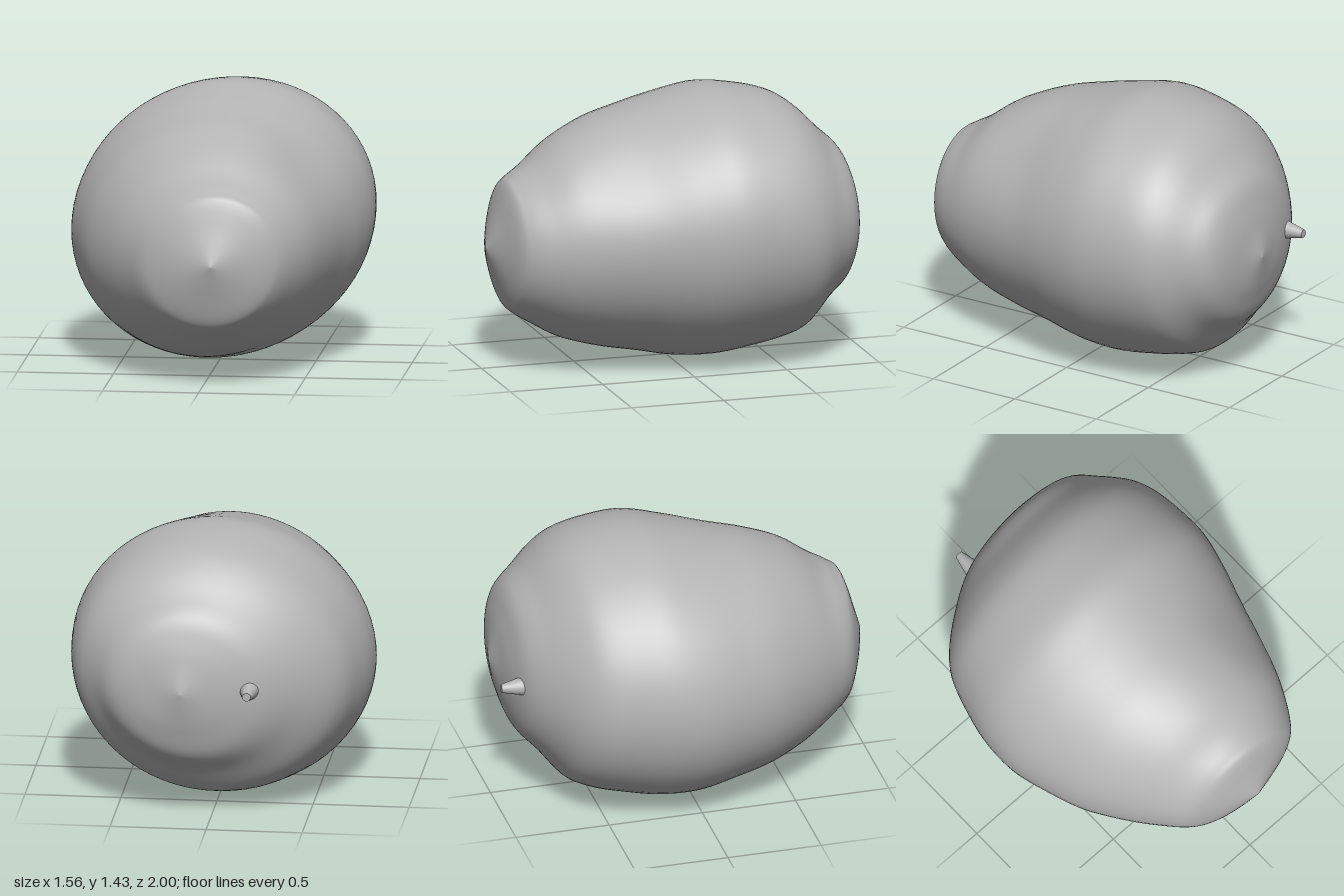
import * as THREE from 'three';

// Body stations from front to back: z, xMin, xMax, yMin, yMax
const STATIONS = [
  [1.0, 0.06, 0.06, 0.665, 0.665],
  [0.95, -0.11, 0.22, 0.50, 0.83],
  [0.90, -0.235, 0.36, 0.36, 0.99],
  [0.85, -0.32, 0.425, 0.305, 1.035],
  [0.75, -0.41, 0.49, 0.24, 1.095],
  [0.6, -0.525, 0.56, 0.155, 1.205],
  [0.4, -0.65, 0.625, 0.09, 1.295],
  [0.2, -0.725, 0.68, 0.05, 1.35],
  [0.0, -0.775, 0.74, 0.012, 1.40],
  [-0.2, -0.775, 0.778, 0.008, 1.44],
  [-0.4, -0.73, 0.77, 0.04, 1.42],
  [-0.55, -0.675, 0.745, 0.075, 1.38],
  [-0.66, -0.59, 0.70, 0.125, 1.31],
  [-0.77, -0.455, 0.615, 0.255, 1.20],
  [-0.87, -0.295, 0.525, 0.36, 1.10],
  [-0.92, -0.14, 0.42, 0.49, 0.97],
  [-0.95, 0.02, 0.25, 0.60, 0.84],
  [-0.975, 0.14, 0.14, 0.72, 0.72],
];

// Smooth loft of slightly skewed ellipses
function bodyGeometry(rings = 102, sides = 72, skew = 0.055) {
  const spline = (lo, hi) => new THREE.CatmullRomCurve3(
    STATIONS.map((s) => new THREE.Vector3(s[0], s[lo], s[hi])), false, 'catmullrom', 0.5);
  const xs = spline(1, 2), ys = spline(3, 4);
  const positions = [], index = [];
  for (let i = 0; i <= rings; i++) {
    const h = xs.getPoint(i / rings), v = ys.getPoint(i / rings);
    for (let j = 0; j < sides; j++) {
      const t = (j / sides) * Math.PI * 2;
      // shallow hollow on the upper left flank
      const da = (t - 0.7) / 0.4, dz = (h.x - 0.35) / 0.25;
      const k = 1 - 0.045 * Math.exp(-da * da - dz * dz);
      positions.push(
        (h.y + h.z) / 2 + k * (h.z - h.y) / 2 * Math.cos(t),
        (v.y + v.z) / 2 + k * (v.z - v.y) / 2 * Math.sin(t + skew),
        h.x);
      if (i < rings) {
        const n = (j + 1) % sides;
        const a = i * sides + j, b = i * sides + n, c = a + sides, d = b + sides;
        if (i > 0) index.push(a, c, b);
        if (i < rings - 1) index.push(b, c, d);
      }
    }
  }
  const geometry = new THREE.BufferGeometry();
  geometry.setAttribute('position', new THREE.Float32BufferAttribute(positions, 3));
  geometry.setIndex(index);
  geometry.computeVertexNormals();
  return geometry;
}

export function createModel() {
  const model = new THREE.Group();
  model.name = 'tuber';
  const grey = new THREE.MeshStandardMaterial({ color: 0xb4b4b4 });
  grey.name = 'grey skin';

  const body = new THREE.Mesh(bodyGeometry(), grey);
  body.name = 'body';
  model.add(body);

  // Short tapered stub at the back
  const stemGeometry = new THREE.CylinderGeometry(0.022, 0.06, 0.16, 24);
  stemGeometry.rotateX(-Math.PI / 2);
  const stem = new THREE.Mesh(stemGeometry, grey);
  stem.name = 'stem';
  stem.position.set(-0.21, 0.73, -0.92);
  model.add(stem);

  return model;
}
